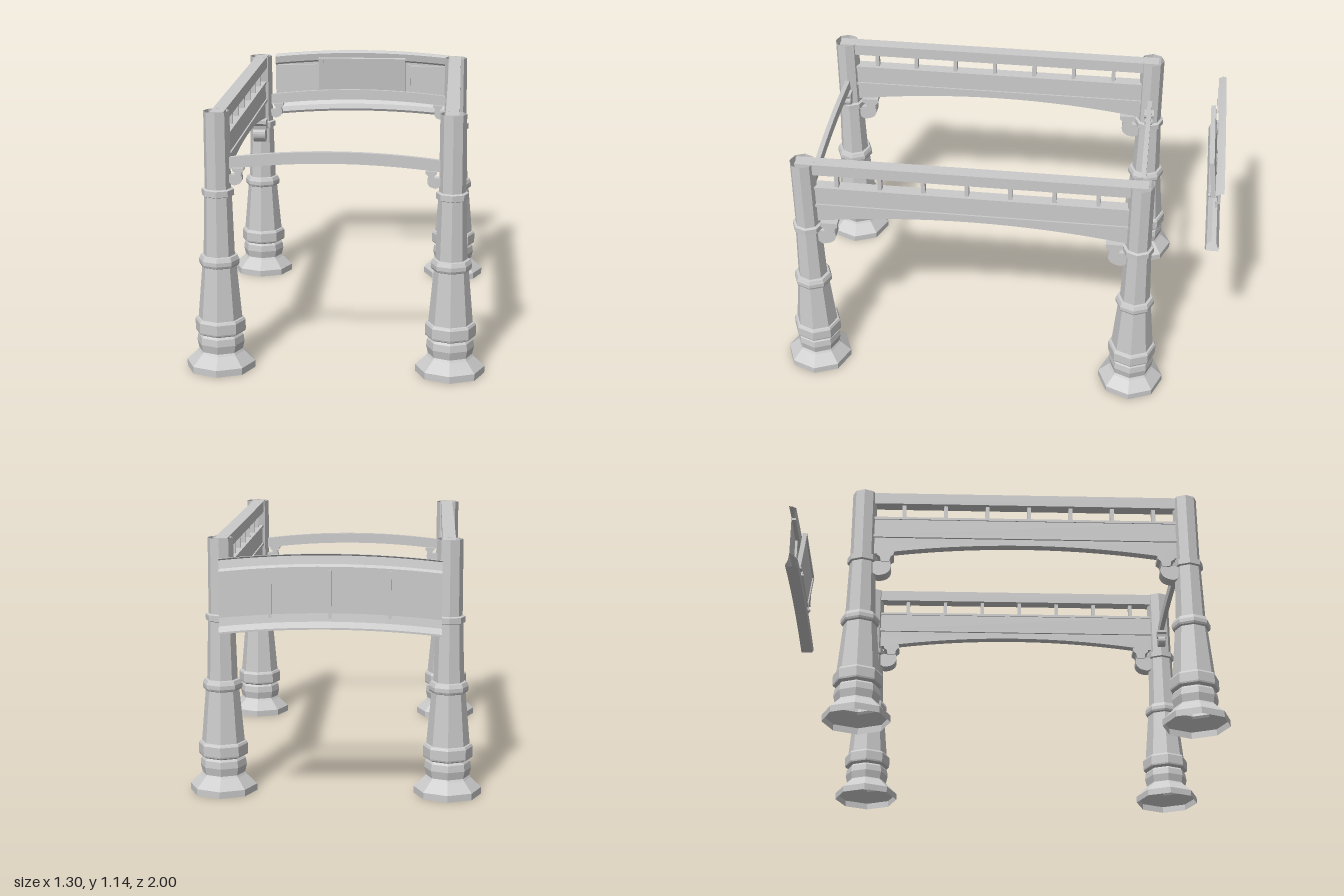
import * as THREE from 'three';
import { ParametricGeometry } from 'three/addons/geometries/ParametricGeometry.js';

const grey = new THREE.MeshStandardMaterial({ color: 0xcccccc, flatShading: true, side: THREE.DoubleSide });
const FRONT = 0.845, BACK = -0.645, MID = 0.1;

function add(parent, name, geometry, x = 0, y = 0, z = 0) {
  const mesh = new THREE.Mesh(geometry, grey);
  mesh.name = name;
  mesh.position.set(x, y, z);
  parent.add(mesh);
  return mesh;
}
const box = (w, h, d) => new THREE.BoxGeometry(w, h, d);

// Extrude a shape, centred through its thickness
function slab(shape, depth) {
  const g = new THREE.ExtrudeGeometry(shape, { depth, bevelEnabled: false, curveSegments: 8 });
  return g.translate(0, 0, -depth / 2);
}

// Hollow octagonal column with collars and a flared foot
function column() {
  const profile = [
    [0.15, 0], [0.15, 0.03], [0.103, 0.075], [0.096, 0.085], [0.104, 0.12], [0.1, 0.15],
    [0.092, 0.16], [0.108, 0.168], [0.11, 0.175], [0.11, 0.218], [0.104, 0.228], [0.096, 0.23],
    [0.075, 0.462], [0.084, 0.466], [0.088, 0.475], [0.088, 0.492], [0.08, 0.51], [0.068, 0.512],
    [0.06, 0.772], [0.07, 0.776], [0.07, 0.802], [0.057, 0.806], [0.056, 1.14],
  ].map(([r, y]) => new THREE.Vector2(r, y));
  return new THREE.LatheGeometry(profile, 8);
}

// Scroll bracket reaching out along +x, with a flared cap at its top (y = 0)
function bracket() {
  const g = new THREE.Group();
  const scroll = new THREE.Shape();
  scroll.moveTo(0.04, -0.05);
  scroll.lineTo(0.125, -0.05);
  scroll.bezierCurveTo(0.14, -0.08, 0.125, -0.115, 0.085, -0.12);
  scroll.bezierCurveTo(0.065, -0.128, 0.05, -0.11, 0.04, -0.1);
  const cap = new THREE.Shape();
  cap.moveTo(0.085, -0.055);
  cap.lineTo(0.122, -0.055);
  cap.lineTo(0.128, -0.03);
  cap.lineTo(0.142, -0.018);
  cap.lineTo(0.142, 0);
  cap.lineTo(0.065, 0);
  cap.lineTo(0.065, -0.02);
  cap.lineTo(0.08, -0.03);
  add(g, 'bracketScroll', slab(scroll, 0.06));
  add(g, 'bracketCap', slab(cap, 0.075));
  return g;
}

// Side girder: rail, balusters, web, ledge and arched skirt
function sideGirder() {
  const g = new THREE.Group();
  const length = 1.55;
  add(g, 'topRail', box(0.058, 0.055, length), 0, 1.112, MID);
  add(g, 'webPanel', box(0.044, 0.1, length), 0, 0.965, MID);
  add(g, 'webCap', box(0.054, 0.012, length), 0, 1.009, MID);
  add(g, 'ledge', box(0.058, 0.014, length), 0, 0.915, MID);
  for (let i = -3; i <= 3; i++) add(g, 'baluster', box(0.026, 0.076, 0.018), 0, 1.049, 0.118 + i * 0.193);
  const skirt = new THREE.Shape();
  skirt.moveTo(-0.74, 0.912);
  skirt.lineTo(-0.74, 0.818);
  for (let i = 0; i <= 16; i++) {
    const s = -0.7 + (i / 16) * 1.4;
    skirt.lineTo(s, 0.878 - 0.055 * (s / 0.7) ** 2);
  }
  skirt.lineTo(0.74, 0.818);
  skirt.lineTo(0.74, 0.912);
  add(g, 'archedSkirt', slab(skirt, 0.04).rotateY(-Math.PI / 2), 0, 0, MID);
  return g;
}

// Thin bowed tie between a pair of columns
function crossArch() {
  const s = new THREE.Shape();
  const rise = (x) => 0.03 * (1 - (x / 0.46) ** 2);
  for (let i = 0; i <= 16; i++) {
    const x = -0.46 + (i / 16) * 0.92;
    if (i) s.lineTo(x, 0.89 + rise(x));
    else s.moveTo(x, 0.89 + rise(x));
  }
  for (let i = 16; i >= 0; i--) {
    const x = -0.46 + (i / 16) * 0.92;
    s.lineTo(x, 0.94 + rise(x));
  }
  return slab(s, 0.022);
}

// Sweep a (y, z) profile across the sign, bowed upwards in the middle
function bowed(profile, half = 0.465, bow = 0.025) {
  const n = profile.length - 1;
  return new ParametricGeometry((u, v, target) => {
    const x = (u * 2 - 1) * half;
    const [y, z] = profile[Math.min(n, Math.round(v * n))];
    target.set(x, y + bow * (1 - (x / 0.465) ** 2), z);
  }, 16, n);
}

function signBoard() {
  const g = new THREE.Group();
  add(g, 'signSheet', bowed([[1.095, -1], [1.095, -0.985], [1.085, -0.966], [1.05, -0.972], [1.04, -0.985], [0.845, -0.985]]));
  add(g, 'signLowerMoulding', bowed([[0.845, -0.985], [0.835, -0.965], [0.815, -0.945], [0.79, -0.938],
    [0.778, -0.945], [0.778, -1], [0.786, -1], [0.81, -0.99], [0.845, -0.985]]));
  for (const x of [-0.25, 0, 0.25]) add(g, 'signRib', box(0.012, 0.2, 0.022), x, 0.95, -0.985);
  for (const s of [-1, 1]) add(g, 'signLedge', box(0.2, 0.012, 0.02), s * 0.35, 1.036, -0.975);

  // Placard with a raised frame, leaning forward at the top
  const placard = new THREE.Group();
  placard.name = 'placard';
  placard.position.set(0, 0.99, -0.957);
  placard.rotation.x = 0.12;
  add(placard, 'placardPanel', box(0.46, 0.19, 0.014));
  for (const s of [-1, 1]) {
    add(placard, 'placardFrameSide', box(0.024, 0.19, 0.022), s * 0.218, 0, 0.002);
    add(placard, 'placardFrameEdge', box(0.46, 0.012, 0.022), 0, s * 0.09, 0.002);
  }
  g.add(placard);
  add(g, 'placardShelf', box(0.46, 0.008, 0.032), 0, 0.898, -0.966);
  for (const s of [-1, 1]) {
    add(g, 'shelfHook', box(0.014, 0.024, 0.038), s * 0.185, 0.885, -0.966);
    add(g, 'hookKnob', new THREE.SphereGeometry(0.011, 8, 6), s * 0.185, 0.877, -0.949);
  }
  return g;
}

export function createModel() {
  const model = new THREE.Group();
  const columnGeometry = column();
  for (const x of [-0.5, 0.5]) {
    for (const z of [FRONT, BACK]) {
      add(model, 'column', columnGeometry, x, 0, z);
      // One large bracket below the girder, one small below the tie
      const sideBracket = bracket();
      sideBracket.name = 'girderBracket';
      sideBracket.position.set(x, 0.828, z);
      sideBracket.rotation.y = z > 0 ? Math.PI / 2 : -Math.PI / 2;
      const tieBracket = bracket();
      tieBracket.name = 'tieBracket';
      tieBracket.position.set(x - Math.sign(x) * 0.026, 0.897, z);
      tieBracket.rotation.y = x > 0 ? Math.PI : 0;
      tieBracket.scale.setScalar(0.62);
      model.add(sideBracket, tieBracket);
    }
    const girder = sideGirder();
    girder.name = 'sideGirder';
    girder.position.x = x * 0.99;
    model.add(girder);
  }
  for (const z of [FRONT, BACK]) add(model, 'crossArch', crossArch(), 0, 0, z);
  const sign = signBoard();
  sign.name = 'signBoard';
  model.add(sign);
  return model;
}
